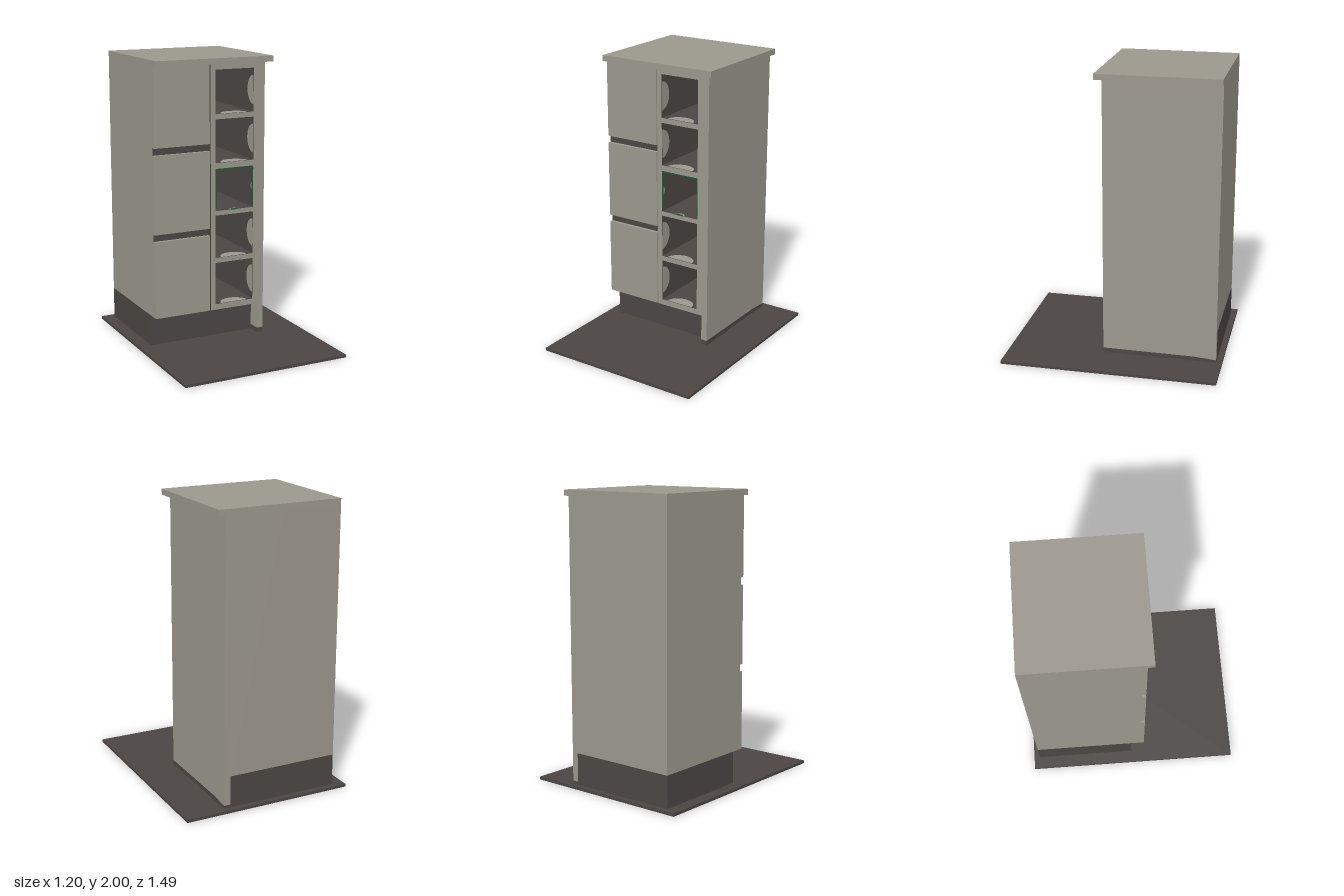
import * as THREE from 'three';

export function createModel() {
  const model = new THREE.Group();
  model.name = 'cabinet';
  const mat = (name, color, side = THREE.FrontSide) => {
    const m = new THREE.MeshStandardMaterial({ color, side });
    m.name = name;
    return m;
  };
  const light = mat('warmGrey', 0x9b978d);
  const dark = mat('charcoal', 0x4b4644);
  const green = mat('green', 0x1f5c30);

  const add = (name, geometry, material, parent = model) => {
    const mesh = new THREE.Mesh(geometry, material);
    mesh.name = name;
    parent.add(mesh);
    return mesh;
  };
  // box given by its limits on each axis
  const box = (name, x0, x1, y0, y1, z0, z1, material, parent) => {
    const g = new THREE.BoxGeometry(x1 - x0, y1 - y0, z1 - z0);
    g.translate((x0 + x1) / 2, (y0 + y1) / 2, (z0 + z1) / 2);
    return add(name, g, material, parent);
  };
  const darkFront = [light, light, light, light, dark, light];

  const L = -0.515, R = 0.315, BACK = -0.705, FRONT = 0.085;
  const BASE = 0.24, TOP = 1.96, PANEL = 0.27, SPLIT = -0.097;

  // floor slab, recessed plinth and worktop
  box('floorSlab', -0.6, 0.6, 0, 0.02, -0.745, 0.745, dark);
  box('plinth', L, PANEL, 0.02, BASE, BACK, -0.01, dark);
  box('worktop', L, 0.355, TOP, 2, BACK, 0.13, light);

  // drawer carcass with dark recessed face showing in the grip channels
  box('drawerCarcass', L, SPLIT, BASE, TOP, BACK, 0.06, darkFront);
  [[BASE, 0.78], [0.83, 1.37], [1.42, TOP]].forEach(([y0, y1]) =>
    box('drawerFront', L, -0.104, y0, y1, 0.06, FRONT, light));

  // end panel with its dark foot, extruded across x from a (z, y) outline
  const side = (name, pts, material) => {
    const shape = new THREE.Shape(pts.map(([z, y]) => new THREE.Vector2(z, y)));
    const g = new THREE.ExtrudeGeometry(shape, { depth: R - PANEL, bevelEnabled: false });
    g.rotateY(-Math.PI / 2).translate(R, 0, 0);
    add(name, g, material);
  };
  const seam = [[FRONT, 0.055], [-0.55, 0.052], [BACK, 0.04]];
  side('endPanel', [...seam, [BACK, TOP], [FRONT, TOP]], light);
  side('endPanelFoot', [[BACK, 0.02], [FRONT, 0.02], ...seam], dark);

  // column of open niches: light face, dark inner walls
  const x0 = -0.06, x1 = 0.23;
  const niches = [[0.28, 0.58], [0.615, 0.918], [0.95, 1.245], [1.285, 1.585], [1.62, 1.92]];
  const face = new THREE.Shape([
    new THREE.Vector2(SPLIT, BASE), new THREE.Vector2(PANEL, BASE),
    new THREE.Vector2(PANEL, TOP), new THREE.Vector2(SPLIT, TOP)]);
  for (const [y0, y1] of niches) {
    face.holes.push(new THREE.Path([
      new THREE.Vector2(x0, y0), new THREE.Vector2(x0, y1),
      new THREE.Vector2(x1, y1), new THREE.Vector2(x1, y0)]));
  }
  const column = new THREE.ExtrudeGeometry(face, { depth: FRONT + 0.68, bevelEnabled: false });
  column.translate(0, 0, -0.68);
  add('nicheColumn', column, [light, dark]);
  box('nicheBack', SPLIT, PANEL, BASE, TOP, BACK, -0.68, darkFront);

  // light half-oval patches on the niche walls, flat edge at the front
  niches.forEach(([y0, y1], i) => {
    const small = i === 2;
    for (let k = 0; k < 4; k++) {
      const g = new THREE.CircleGeometry(1, 24, 0, Math.PI);
      g.scale(small ? 0.035 : 0.1, small ? 0.03 : 0.085, 1);
      g.rotateX(-Math.PI / 2);
      const half = k % 2 ? (x1 - x0) / 2 : (y1 - y0) / 2;
      g.translate(0, -half + 0.002, 0).rotateZ(k * Math.PI / 2);
      g.translate((x0 + x1) / 2, (y0 + y1) / 2, FRONT - 0.002);
      add('nichePatch', g, light);
    }
  });

  // thin green trim around the middle niche
  const trim = new THREE.Group();
  trim.name = 'greenTrim';
  model.add(trim);
  const [b, t] = niches[2], w = 0.008, zf = FRONT + 0.001, zb = FRONT - 0.008;
  box('trimLeft', x0, x0 + w, b + 0.02, t - 0.01, zb, zf, green, trim);
  box('trimRight', x1 - w, x1, b + 0.02, t - 0.01, zb, zf, green, trim);
  box('trimTop', x0 + 0.015, x1 - 0.015, t - w, t, zb, zf, green, trim);
  box('trimBottom', 0.06, 0.11, b - 0.002, b + w - 0.002, zb, zf, green, trim);

  return model;
}
